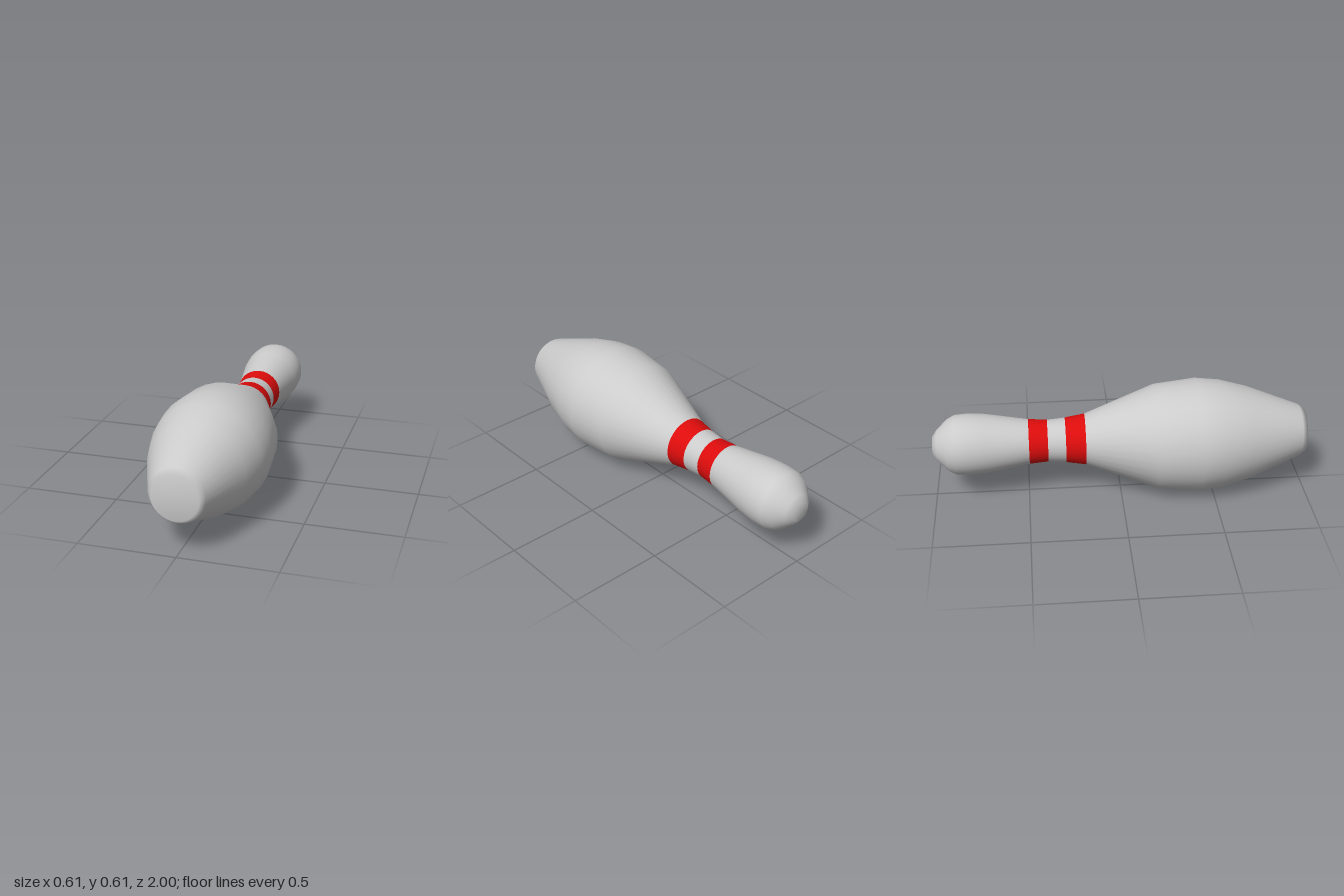
import * as THREE from 'three';

const AXIS_Y = 0.307;
const SEGMENTS = 32;

// Lathed section along z; each profile point is [radius, z], running from the head to the base
function section(name, color, profile) {
  const points = profile.map(([r, z]) => new THREE.Vector2(r, z));
  const geometry = new THREE.LatheGeometry(points, SEGMENTS);
  geometry.rotateX(Math.PI / 2);
  const mesh = new THREE.Mesh(geometry, new THREE.MeshStandardMaterial({ color }));
  mesh.name = name;
  mesh.position.y = AXIS_Y;
  return mesh;
}

export function createModel() {
  const group = new THREE.Group();
  group.name = 'bowlingPin';
  const grey = 0xcccccc;
  const red = 0xdd0c0c;

  group.add(
    // Rounded head tapering into the neck
    section('head', grey, [
      [0, -1], [0.05, -1], [0.085, -0.975], [0.138, -0.92], [0.159, -0.88],
      [0.164, -0.81], [0.158, -0.72], [0.12, -0.49],
    ]),
    // Neck with two painted bands
    section('upperBand', red, [[0.12, -0.49], [0.112, -0.39]]),
    section('neck', grey, [[0.112, -0.39], [0.12, -0.295]]),
    section('lowerBand', red, [[0.12, -0.295], [0.137, -0.19]]),
    // Belly and flat base
    section('body', grey, [
      [0.137, -0.19], [0.282, 0.19], [0.306, 0.41], [0.292, 0.54],
      [0.251, 0.69], [0.142, 0.97], [0.118, 1], [0, 1],
    ]),
  );
  return group;
}
